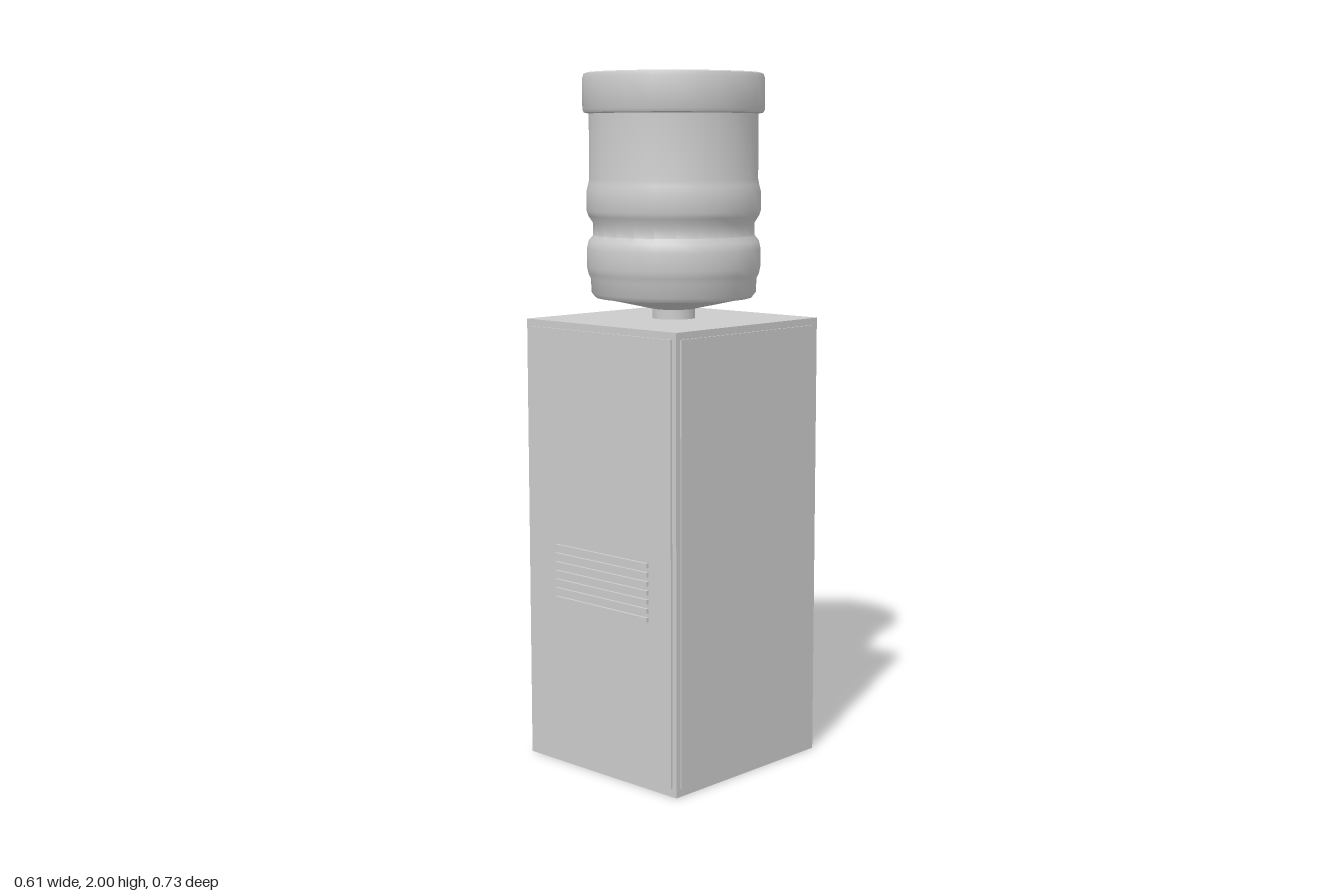
import * as THREE from 'three';
import { toCreasedNormals } from 'three/addons/utils/BufferGeometryUtils.js';

const grey = new THREE.MeshStandardMaterial({ color: 0xcccccc });

export function createModel() {
  const root = new THREE.Group();

  const add = (name, geometry, x = 0, y = 0, z = 0, parent = root) => {
    const mesh = new THREE.Mesh(geometry, grey);
    mesh.name = name;
    mesh.position.set(x, y, z);
    parent.add(mesh);
    return mesh;
  };
  // Box given by its extents on each axis
  const box = (name, [x0, x1], [y0, y1], [z0, z1], parent = root) =>
    add(name, new THREE.BoxGeometry(x1 - x0, y1 - y0, z1 - z0),
      (x0 + x1) / 2, (y0 + y1) / 2, (z0 + z1) / 2, parent);
  const lathe = (points, segments, crease) => toCreasedNormals(
    new THREE.LatheGeometry(points.map(([r, y]) => new THREE.Vector2(r, y)), segments), crease);
  const rectangle = (Type, x0, x1, y0, y1) => new Type([
    new THREE.Vector2(x0, y0), new THREE.Vector2(x1, y0),
    new THREE.Vector2(x1, y1), new THREE.Vector2(x0, y1)]);

  // Cabinet: solid block plus a slab with the dispensing opening cut through
  box('cabinet', [-0.15, 0.3], [0, 1.3], [-0.248, 0.348]);
  const face = rectangle(THREE.Shape, -0.248, 0.348, 0, 1.3);
  face.holes.push(rectangle(THREE.Path, -0.18, 0.28, 0.765, 1.03));
  const slab = new THREE.ExtrudeGeometry(face, { depth: 0.143, bevelEnabled: false });
  slab.rotateY(-Math.PI / 2);
  add('dispenserFace', slab, -0.15);

  // Thin raised cover panels
  box('frontPanel', [-0.273, 0.285], [0.025, 1.28], [0.34, 0.354]);
  box('backPanel', [-0.28, 0.285], [0.025, 1.28], [-0.251, -0.24]);
  box('sidePanel', [0.29, 0.305], [0.025, 1.28], [-0.228, 0.332]);

  // Slatted vents on front and back
  for (const [name, z0, z1] of [['frontVent', 0.35, 0.362], ['backVent', -0.261, -0.247]]) {
    const vent = new THREE.Group();
    vent.name = name;
    root.add(vent);
    for (let i = 0; i < 7; i++) {
      const y = 0.487 + i * 0.0257;
      box('slat', [-0.17, 0.2], [y, y + 0.013], [z0, z1], vent);
    }
  }

  // Drip grate in the opening
  const grate = new THREE.Group();
  grate.name = 'dripGrate';
  root.add(grate);
  for (let i = 0; i < 8; i++) {
    const x = -0.285 + i * 0.0165;
    box('grateBar', [x, x + 0.008], [0.765, 0.778], [-0.18, 0.28], grate);
  }

  // Control plate, label strip and two knobs above the opening
  box('controlPlate', [-0.296, -0.29], [1.14, 1.27], [-0.115, 0.2]);
  box('controlStrip', [-0.302, -0.29], [1.06, 1.1], [-0.065, 0.14]);
  const knob = lathe([[0.028, 0], [0.028, 0.004], [0.024, 0.011], [0.016, 0.015], [0, 0.016]], 20, 0.6);
  knob.rotateZ(Math.PI / 2);
  for (const z of [-0.142, 0.226]) add('knob', knob, -0.293, 1.09, z);

  // Cup shelf on the back, with rounded outer corners
  const r = 0.027;
  const outline = new THREE.Shape();
  outline.moveTo(-0.25, 0.245);
  outline.lineTo(0.043, 0.245);
  outline.lineTo(0.043, 0.365 - r);
  outline.quadraticCurveTo(0.043, 0.365, 0.043 - r, 0.365);
  outline.lineTo(-0.25 + r, 0.365);
  outline.quadraticCurveTo(-0.25, 0.365, -0.25, 0.365 - r);
  const shelf = new THREE.ExtrudeGeometry(outline, { depth: 0.013, bevelEnabled: false, curveSegments: 6 });
  shelf.rotateX(-Math.PI / 2);
  add('cupShelf', shelf, 0, 0.952, 0);

  // Hollow six-sided cups
  const cup = lathe([[0, 0], [0.023, 0], [0.036, 0.107], [0.03, 0.107], [0.019, 0.008], [0, 0.008]], 6, 0.3);
  for (const x of [-0.14, -0.022]) add('cup', cup, x, 0.965, -0.329);

  // Upturned water bottle: neck, shoulder, two bulging rings and a wide rim
  const bottle = lathe([
    [0.062, 1.295], [0.062, 1.328], [0.2, 1.358], [0.228, 1.362], [0.238, 1.375],
    [0.24, 1.415], [0.247, 1.43], [0.251, 1.45], [0.251, 1.5], [0.246, 1.524], [0.233, 1.54],
    [0.233, 1.575], [0.246, 1.595], [0.251, 1.61], [0.251, 1.665], [0.246, 1.685], [0.243, 1.7],
    [0.243, 1.885], [0.257, 1.888], [0.261, 1.897], [0.261, 1.985], [0.257, 1.997], [0.25, 2],
    [0.243, 1.997], [0.241, 1.988], [0.225, 1.994], [0, 1.996],
  ], 24, 0.7);
  add('waterBottle', bottle, 0, 0, 0.04);

  return root;
}
